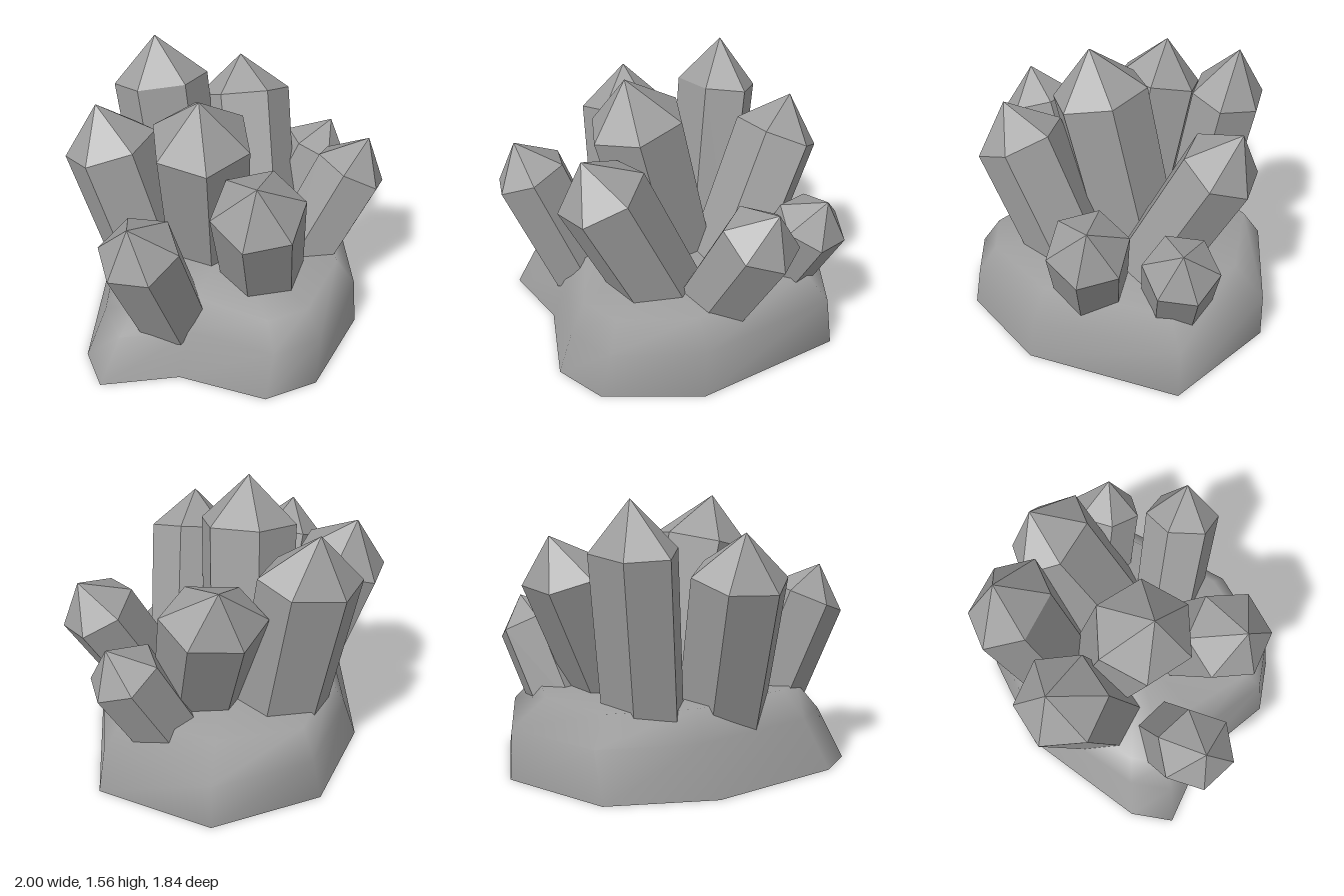
import * as THREE from 'three';

const UP = new THREE.Vector3(0, 1, 0);
const GREY = 0x9e9e9e;

// Hollow rock: one outline repeated as shrinking rings, closed by a fan on top
function createRock() {
  // x, z, extra inset of the top ring
  const outline = [
    [0.11, 0.915, 1], [0.6, 0.6, 1], [1.0, -0.21, 1], [0.6, -0.79, 0.92], [-0.05, -0.92, 1],
    [-0.57, -0.59, 1], [-0.98, 0.09, 1], [-1.0, 0.35, 1], [-0.57, 0.51, 0.95], [-0.21, 0.885, 1],
  ];
  // y, x scale, x shift, z scale, z shift
  const rings = [
    [0, 1, 0, 1, 0],
    [0.29, 0.9, 0.05, 0.965, -0.015],
    [0.45, 0.76, 0.04, 0.845, -0.015],
  ];
  const n = outline.length;
  const top = (rings.length - 1) * n;
  const positions = [];
  const index = [];
  rings.forEach(([y, sx, dx, sz, dz], r) => {
    for (const [x, z, inset] of outline) {
      const k = r === rings.length - 1 ? inset : 1;
      positions.push(x * sx * k + dx, y, z * sz * k + dz);
    }
  });
  const centre = positions.length / 3;
  positions.push(0, 0.45, 0);
  for (let i = 0; i < n; i++) {
    const j = (i + 1) % n;
    for (let r = 0; r < rings.length - 1; r++) {
      const a = r * n + i, b = r * n + j;
      index.push(a, b, b + n, a, b + n, a + n);
    }
    index.push(top + i, top + j, centre);
  }
  const geometry = new THREE.BufferGeometry();
  geometry.setAttribute('position', new THREE.Float32BufferAttribute(positions, 3));
  geometry.setIndex(index);
  geometry.computeVertexNormals();
  const rock = new THREE.Mesh(geometry, new THREE.MeshStandardMaterial({
    color: GREY, side: THREE.DoubleSide,
  }));
  rock.name = 'rockBase';
  return rock;
}

// Six-sided crystal, pointed at both ends and slightly wider at the top
function createCrystal({ name, shoulder, lean, tip, radius, turn, depth = 1, yaw = 0 }, material) {
  const dir = new THREE.Vector3(lean[0], 1, lean[1]).normalize();
  const top = new THREE.Vector3(...shoulder);
  const length = (top.y - 0.28) / dir.y;
  const profile = [
    new THREE.Vector2(0, -0.16),
    new THREE.Vector2(radius * 0.96, 0),
    new THREE.Vector2(radius, length),
    new THREE.Vector2(0, length + tip),
  ];
  const geometry = new THREE.LatheGeometry(profile, 6, THREE.MathUtils.degToRad(turn));
  geometry.scale(1, 1, depth);
  geometry.rotateY(THREE.MathUtils.degToRad(yaw));
  const crystal = new THREE.Mesh(geometry, material);
  crystal.quaternion.setFromUnitVectors(UP, dir);
  crystal.position.copy(top).addScaledVector(dir, -length);
  crystal.name = name;
  return crystal;
}

// shoulder: centre of the upper ring; lean: x and z drift per unit of height;
// depth: flattening of the section, then turned by yaw
const CRYSTALS = [
  { name: 'centreCrystal', shoulder: [-0.195, 1.29, 0.085], lean: [-0.13, 0.2], tip: 0.27, radius: 0.29, turn: 39 },
  { name: 'backCrystal', shoulder: [-0.1, 1.29, -0.65], lean: [-0.03, -0.18], tip: 0.27, radius: 0.285, turn: 30, depth: 0.75, yaw: -23 },
  { name: 'frontCrystal', shoulder: [-0.1, 1.08, 0.56], lean: [-0.28, 0.37], tip: 0.23, radius: 0.26, turn: 12 },
  { name: 'frontRightCrystal', shoulder: [-0.73, 0.95, 0.42], lean: [-0.34, 0.22], tip: 0.21, radius: 0.225, turn: 48 },
  { name: 'backRightCrystal', shoulder: [-0.57, 1.14, -0.33], lean: [-0.2, -0.22], tip: 0.25, radius: 0.27, turn: 8 },
  { name: 'backLeftCrystal', shoulder: [0.4, 1.14, -0.51], lean: [0.14, -0.46], tip: 0.23, radius: 0.285, turn: 30, depth: 0.8, yaw: -27 },
  { name: 'frontLeftCrystal', shoulder: [0.72, 0.91, 0.25], lean: [0.53, 0.07], tip: 0.21, radius: 0.225, turn: 8 },
  { name: 'leftCrystal', shoulder: [0.8, 0.78, -0.23], lean: [0.5, 0.07], tip: 0.19, radius: 0.21, turn: 45 },
];

export function createModel() {
  const model = new THREE.Group();
  model.name = 'crystalCluster';
  model.add(createRock());

  const crystals = new THREE.Group();
  crystals.name = 'crystals';
  const material = new THREE.MeshStandardMaterial({ color: GREY, flatShading: true });
  for (const spec of CRYSTALS) crystals.add(createCrystal(spec, material));
  model.add(crystals);
  return model;
}
